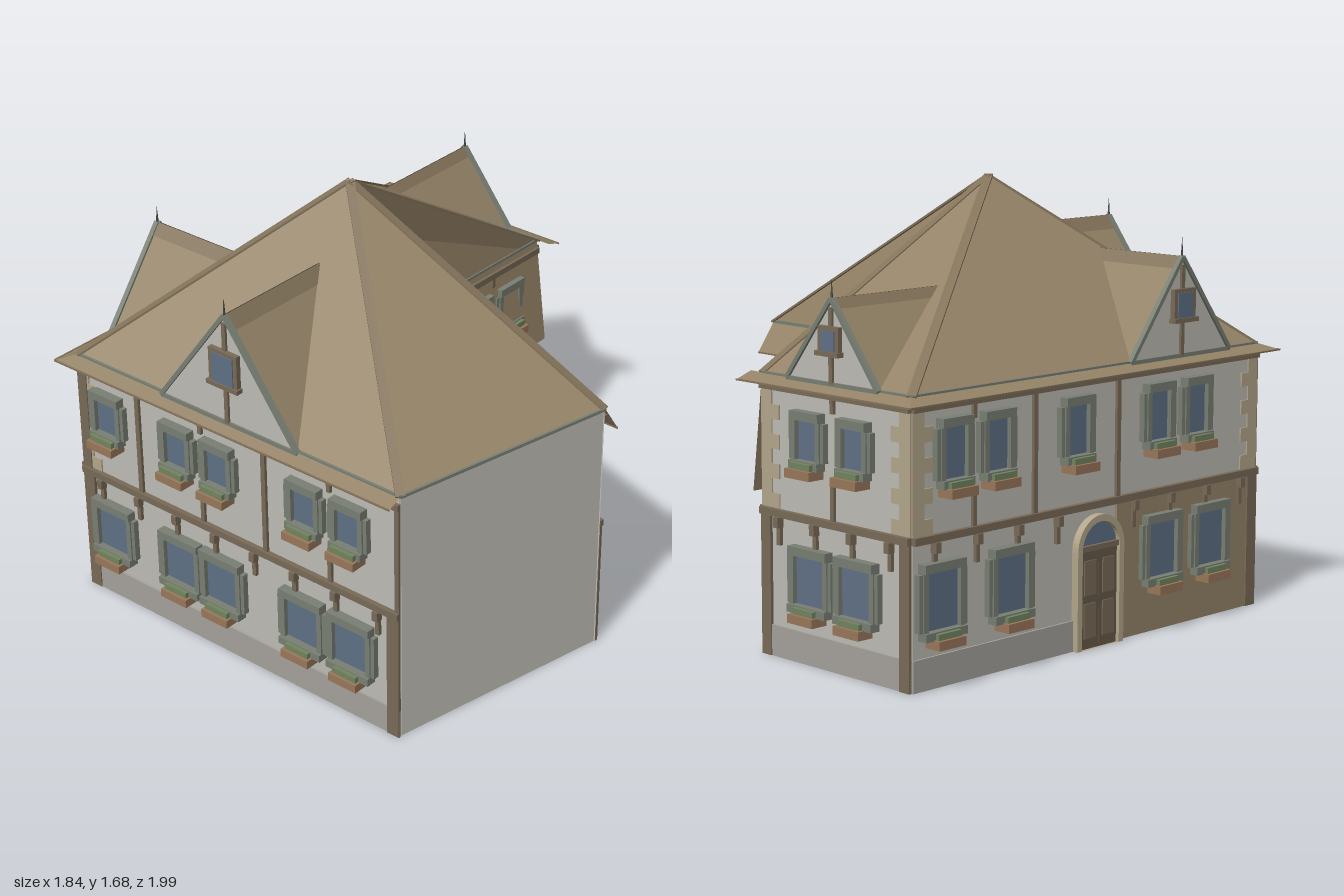
import * as THREE from 'three';

const mat = (color, side = THREE.FrontSide) => new THREE.MeshStandardMaterial({ color, side, flatShading: true });
const M = {
  plaster: mat(0xbebbb4, THREE.DoubleSide),
  roof: mat(0x948367, THREE.DoubleSide), courtRoof: mat(0x82725a, THREE.DoubleSide),
  tan: mat(0x968468, THREE.DoubleSide), ridge: mat(0x83735a, THREE.DoubleSide),
  plinth: mat(0xa5a19b), timber: mat(0x786a57), door: mat(0x675a48),
  trim: mat(0x787f73), pane: mat(0x5f7085), pot: mat(0x98775a), plant: mat(0x71835e),
  quoin: mat(0xb3a68a), iron: mat(0x40423f),
};
const EAVE = 1.03;
const APEX = [-0.15, 1.68, 0.16];
// Footprint corners, ordered left to right as seen from outside each wall
const P = [[-0.85, 0.925], [0.72, 0.925], [0.92, 0], [-0.085, -0.025], [-0.08, -0.92], [-0.85, -0.92]];

function add(parent, name, geo, material, x = 0, y = 0, z = 0) {
  const m = new THREE.Mesh(geo, material);
  m.name = name;
  m.position.set(x, y, z);
  parent.add(m);
  return m;
}
// Box given by its ranges; z runs outward from the wall
function box(parent, name, material, x0, x1, y0, y1, z0, z1) {
  return add(parent, name, new THREE.BoxGeometry(x1 - x0, y1 - y0, z1 - z0), material,
    (x0 + x1) / 2, (y0 + y1) / 2, (z0 + z1) / 2);
}
// Flat polygon from 3D corners, fanned from the first
function poly(parent, name, material, ...pts) {
  const v = [];
  for (let i = 1; i < pts.length - 1; i++) v.push(...pts[0], ...pts[i], ...pts[i + 1]);
  const g = new THREE.BufferGeometry();
  g.setAttribute('position', new THREE.Float32BufferAttribute(v, 3));
  g.computeVertexNormals();
  return add(parent, name, g, material);
}
// Bar of rectangular section between two points
function bar(parent, name, material, a, b, w, h) {
  const A = new THREE.Vector3(...a), B = new THREE.Vector3(...b);
  const m = add(parent, name, new THREE.BoxGeometry(w, h, A.distanceTo(B)), material);
  m.position.copy(A).add(B).multiplyScalar(0.5);
  m.quaternion.setFromRotationMatrix(new THREE.Matrix4().lookAt(B, A, new THREE.Vector3(0, 1, 0)));
  return m;
}
const mix = (a, b, t) => a.map((v, i) => v + (b[i] - v) * t);
const at = ([x, z], y) => [x, y, z];

// Window with frame, side shutters and a planted box
function windowUnit(parent, u, y0, y1, w) {
  const g = new THREE.Group();
  g.name = 'window';
  g.position.x = u;
  parent.add(g);
  const h = w / 2, o = h + 0.022, s = o + 0.016;
  box(g, 'pane', M.pane, -h, h, y0 + 0.02, y1 - 0.02, 0, 0.012);
  box(g, 'lintel', M.trim, -o, o, y1 - 0.032, y1, 0, 0.038);
  box(g, 'sill', M.trim, -o, o, y0, y0 + 0.03, 0, 0.042);
  for (const k of [-1, 1]) {
    const jamb = box(g, 'jamb', M.trim, h, o, y0, y1, 0, 0.03);
    const shutter = box(g, 'shutter', M.trim, o, s, y0 + 0.03, y1 - 0.035, 0, 0.024);
    jamb.position.x *= k;
    shutter.position.x *= k;
  }
  box(g, 'flowerBox', M.pot, -0.065, 0.065, y0 - 0.03, y0 + 0.003, 0, 0.07);
  box(g, 'plants', M.plant, -0.055, 0.055, y0 + 0.003, y0 + 0.025, 0.012, 0.058);
}

// Gabled dormer standing on the eaves of a wall
function dormer(parent, u, half, peak, depth) {
  const g = new THREE.Group();
  g.name = 'dormer';
  g.position.x = u;
  parent.add(g);
  const k = (peak - EAVE) / 0.44, z = 0.01;
  const T = [0, peak, z], back = [0, peak, -depth];
  poly(g, 'gable', M.plaster, [-half, EAVE, z], [half, EAVE, z], T);
  for (const s of [-1, 1]) {
    const foot = [s * half, EAVE, z];
    poly(g, 'dormerRoof', M.roof, foot, T, back);
    // Ridge band lying on the slope
    const band = poly(g, 'ridgeBand', M.ridge, T, mix(T, foot, 0.12), mix(back, foot, 0.12), back);
    band.position.set(s * 0.002, 0.002, 0);
    bar(g, 'bargeBoard', M.trim, foot, T, 0.02, 0.016);
  }
  box(g, 'gableBase', M.trim, -half, half, EAVE - 0.008, EAVE + 0.008, 0, 0.018);
  box(g, 'gablePost', M.timber, -0.009, 0.009, EAVE, peak - 0.03, 0, 0.02);
  const y0 = EAVE + 0.165 * k, y1 = EAVE + 0.3 * k, w = 0.05 * k;
  box(g, 'gableWindowFrame', M.timber, -w - 0.018, w + 0.018, y0, y1, 0, 0.03);
  box(g, 'gablePane', M.pane, -w, w, y0 + 0.005, y1 - 0.015, 0, 0.034);
  box(g, 'gableSill', M.timber, -w - 0.025, w + 0.025, y0 - 0.012, y0 + 0.005, 0, 0.04);
  add(g, 'finial', new THREE.ConeGeometry(0.006, 0.09, 6), M.iron, 0, peak + 0.03, z);
}

// Wall group: local x runs along the wall, local z points outward
function wall(parent, name, i, o) {
  const [ax, az] = P[i], [bx, bz] = P[(i + 1) % P.length];
  const len = Math.hypot(bx - ax, bz - az);
  const g = new THREE.Group();
  g.name = name;
  g.position.set(ax, 0, az);
  g.rotation.y = Math.atan2(az - bz, bx - ax);
  parent.add(g);
  const d = -0.004;
  poly(g, 'plasterWall', M.plaster, [0, 0, d], [len, 0, d], [len, EAVE, d], [0, EAVE, d]);
  if (!o) return g;
  box(g, 'plinth', M.plinth, 0, o.plinthEnd ?? len, 0, 0.115, 0, 0.008);
  box(g, 'floorBeam', M.timber, 0, len, 0.518, 0.545, 0, 0.02);
  box(g, 'eavesBeam', M.timber, 0, len, 0.975, 1.0, 0, 0.016);
  for (const [a, b] of o.posts) box(g, 'cornerPost', M.timber, a, b, 0, 0.52, 0, 0.012);
  for (const u of o.lower) windowUnit(g, u, o.lowerY?.[0] ?? 0.19, o.lowerY?.[1] ?? 0.43, 0.155);
  for (const u of o.upper) windowUnit(g, u, o.upperY?.[0] ?? 0.715, o.upperY?.[1] ?? 0.92, 0.105);
  for (const u of o.studs ?? []) box(g, 'stud', M.timber, u - 0.01, u + 0.01, 0.545, 0.975, 0, 0.012);
  for (const u of o.shortStuds ?? []) {
    box(g, 'shortStud', M.timber, u - 0.009, u + 0.009, 0.545, 0.685, 0, 0.012);
    box(g, 'shortStud', M.timber, u - 0.009, u + 0.009, 0.925, 0.975, 0, 0.012);
  }
  // Brackets under the floor beam
  const n = Math.round(len / 0.2);
  for (let k = 0; k < n; k++) {
    const u = (k + 0.5) * len / n;
    if (o.doorAt && Math.abs(u - o.doorAt) < 0.14) continue;
    box(g, 'bracket', M.timber, u - 0.009, u + 0.009, 0.415, 0.518, 0, 0.014);
    box(g, 'bracketHead', M.timber, u - 0.012, u + 0.012, 0.48, 0.518, 0, 0.028);
  }
  // Corner stones, alternately long and short
  for (const end of o.quoins ?? []) {
    for (let k = 0; k < 8; k++) {
      const w = k % 2 ? 0.055 : 0.095, y = 0.547 + k * 0.0535;
      box(g, 'cornerStone', M.quoin, end ? len - w : 0, end ? len : w, y, y + 0.0535, 0, 0.006);
    }
  }
  return g;
}

// Arched outline
function arch(w, h) {
  const s = new THREE.Shape();
  s.moveTo(-w, 0);
  s.lineTo(w, 0);
  s.lineTo(w, h);
  s.absarc(0, h, w, 0, Math.PI, false);
  return s;
}

export function createModel() {
  const house = new THREE.Group();
  house.name = 'house';

  const front = wall(house, 'frontWall', 0, {
    posts: [[0, 0.055], [1.515, 1.57]], quoins: [0], studs: [0.31, 0.94], shortStuds: [0.63, 1.25],
    lower: [0.155, 0.51, 0.72, 1.12, 1.35], upper: [0.155, 0.515, 0.72, 1.14, 1.345],
  });
  box(front, 'upperPost', M.timber, 0, 0.045, 0.545, 0.975, 0, 0.01);
  box(front, 'upperPost', M.timber, 1.55, 1.57, 0.545, 0.975, 0, 0.01);
  wall(house, 'sideWall', 1);
  wall(house, 'wingBackWall', 2, {
    posts: [[0, 0.05], [0.945, 1.005]], studs: [0.35], shortStuds: [0.67],
    lower: [0.15, 0.52, 0.73], upper: [0.17, 0.56, 0.76],
  });
  const court = wall(house, 'courtWall', 3, {
    posts: [[0, 0.055], [0.84, 0.895]], shortStuds: [0.3, 0.6],
    lower: [0.155, 0.455, 0.68], upper: [0.155, 0.495, 0.695],
  });
  // Cladding leans outward from the eaves over the upper windows
  poly(court, 'courtCladding', M.tan, [0, 0.59, 0.055], [0.895, 0.59, 0.055], [0.895, EAVE, 0], [0, EAVE, 0]);
  const back = wall(house, 'backWall', 4, {
    posts: [[0, 0.05], [0.72, 0.77]], quoins: [0, 1],
    lower: [0.27, 0.51], upper: [0.26, 0.5], shortStuds: [0.38],
  });
  const left = wall(house, 'leftWall', 5, {
    posts: [[1.79, 1.845]], quoins: [0, 1], plinthEnd: 0.81, doorAt: 0.93,
    lower: [0.13, 0.47, 1.28, 1.56], upper: [0.19, 0.4, 0.81, 1.255, 1.47],
    lowerY: [0.18, 0.45], upperY: [0.7, 0.945], studs: [0.6, 1.04], shortStuds: [0.295],
  });
  box(left, 'tanLowerWall', M.tan, 1.04, 1.845, 0, 0.518, -0.008, 0.006);

  // Arched door on the left wall
  const surround = arch(0.125, 0.37);
  surround.holes.push(arch(0.1, 0.37));
  add(left, 'doorSurround', new THREE.ExtrudeGeometry(surround, { depth: 0.03, bevelEnabled: false }), M.quoin, 0.93);
  add(left, 'fanlight', new THREE.ExtrudeGeometry(arch(0.1, 0.37), { depth: 0.012, bevelEnabled: false }), M.pane, 0.93);
  for (const k of [0, 1]) {
    const u = 0.833 + k * 0.098;
    box(left, 'doorLeaf', M.door, u, u + 0.096, 0, 0.37, -0.008, 0.018);
    for (const y of [0.04, 0.2]) box(left, 'doorPanel', M.timber, u + 0.017, u + 0.079, y, y + 0.13, 0.012, 0.023);
  }
  box(left, 'doorTransom', M.timber, 0.83, 1.03, 0.365, 0.385, 0, 0.026);

  // Main roof: one slope per wall, rising to a single peak
  P.forEach((p, i) => {
    const a = at(p, EAVE), b = at(P[(i + 1) % P.length], EAVE);
    if (i === 3) {
      // The court slope is darker above a diagonal
      const upper = mix(APEX, a, 0.38), lower = mix(a, b, 0.88);
      poly(house, 'courtSlopeUpper', M.courtRoof, APEX, upper, lower, b);
      poly(house, 'courtSlopeLower', M.tan, upper, a, lower);
    } else poly(house, 'roofSlope', M.roof, a, b, APEX);
    bar(house, 'hipCap', M.ridge, a, APEX, 0.034, 0.008);
    bar(house, 'gutter', M.trim, a, b, 0.01, 0.012);
  });

  // Flared skirts below the roof: wall corners, outer edge corners, outer edge height
  const skirts = [
    [P[0], P[1], [0.72, 0.985], [-0.915, 0.985], 1.005],
    [P[5], P[0], [-0.915, 0.985], [-0.915, -0.99], 1.005],
    [[-0.02, -0.92], P[5], [-0.915, -0.99], [-0.02, -0.99], 1.005],
    [P[2], P[3], [-0.08, -0.1], [0.92, -0.085], 0.91],
  ];
  for (const [a, b, c, d, y] of skirts) {
    poly(house, 'eavesSkirt', M.roof, at(d, y), at(c, y), at(b, EAVE), at(a, EAVE));
    bar(house, 'skirtEdge', M.ridge, at(c, y), at(d, y), 0.006, 0.006);
  }

  dormer(front, 0.78, 0.33, 1.47, 0.5);
  dormer(back, 0.385, 0.235, 1.33, 0.5);
  dormer(left, 1.38, 0.28, 1.4, 0.4);
  return house;
}
